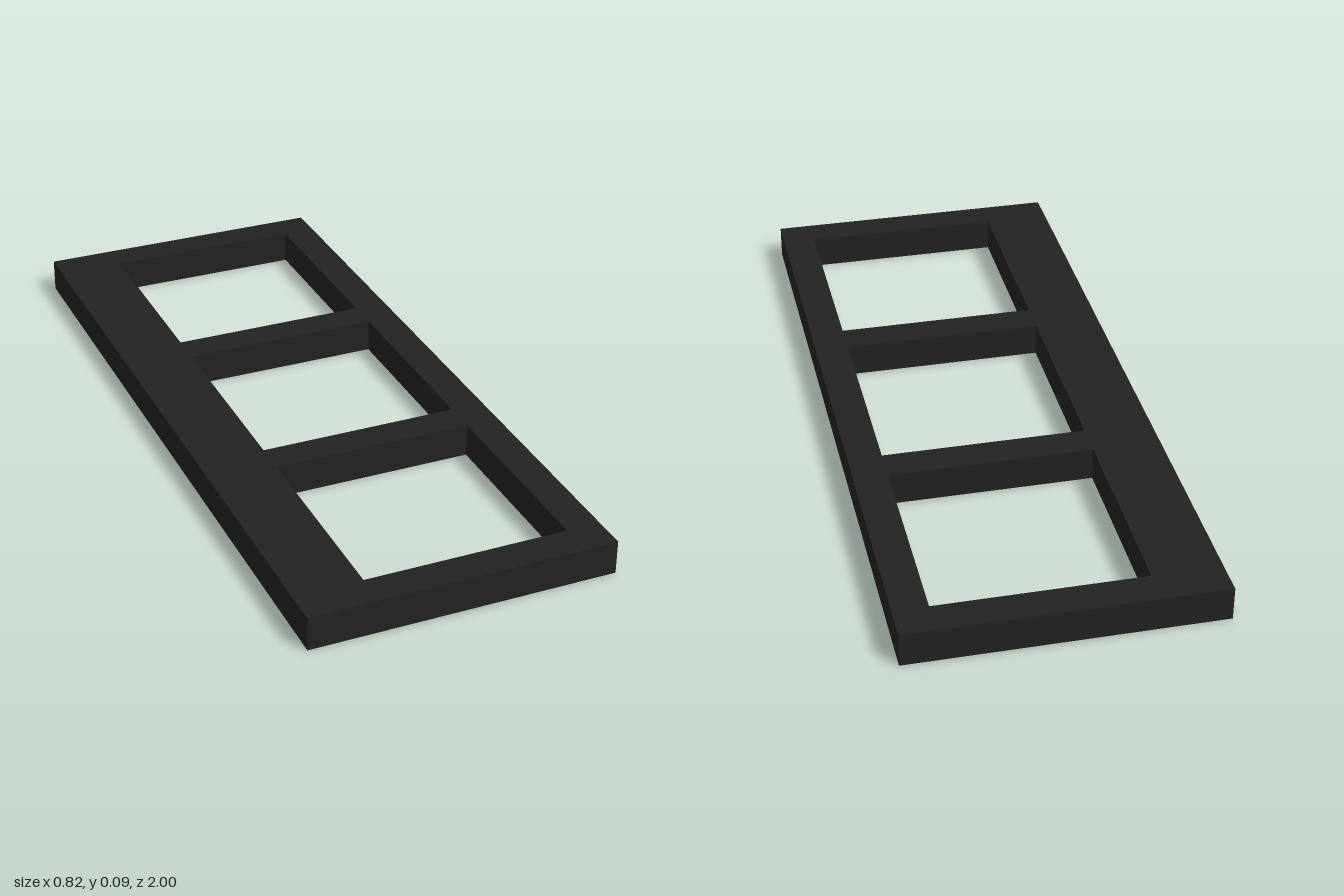
import * as THREE from 'three';

// Everything sits on a grid of 1/11: 9 wide, 1 high, 22 long
const U = 1 / 11;

function rectangle(path, x0, y0, x1, y1) {
  path.moveTo(x0 * U, y0 * U);
  path.lineTo(x1 * U, y0 * U);
  path.lineTo(x1 * U, y1 * U);
  path.lineTo(x0 * U, y1 * U);
  path.closePath();
  return path;
}

export function createModel() {
  const group = new THREE.Group();
  group.name = 'threeWindowFrame';

  const black = new THREE.MeshStandardMaterial({ color: 0x222222 });
  black.name = 'black';

  // Flat plate with one wide rail on the right side (-x)
  const outline = rectangle(new THREE.Shape(), -4.5, -11, 4.5, 11);

  // Three square openings, separated by thin crossbars
  for (let i = 0; i < 3; i++) {
    const start = -10 + i * 7;
    outline.holes.push(rectangle(new THREE.Path(), -2.5, start, 3.5, start + 6));
  }

  // Extrude the thickness, then lay the plate flat on y = 0
  const geometry = new THREE.ExtrudeGeometry(outline, { depth: U, bevelEnabled: false });
  geometry.rotateX(-Math.PI / 2);

  const frame = new THREE.Mesh(geometry, black);
  frame.name = 'frame';
  group.add(frame);
  return group;
}
